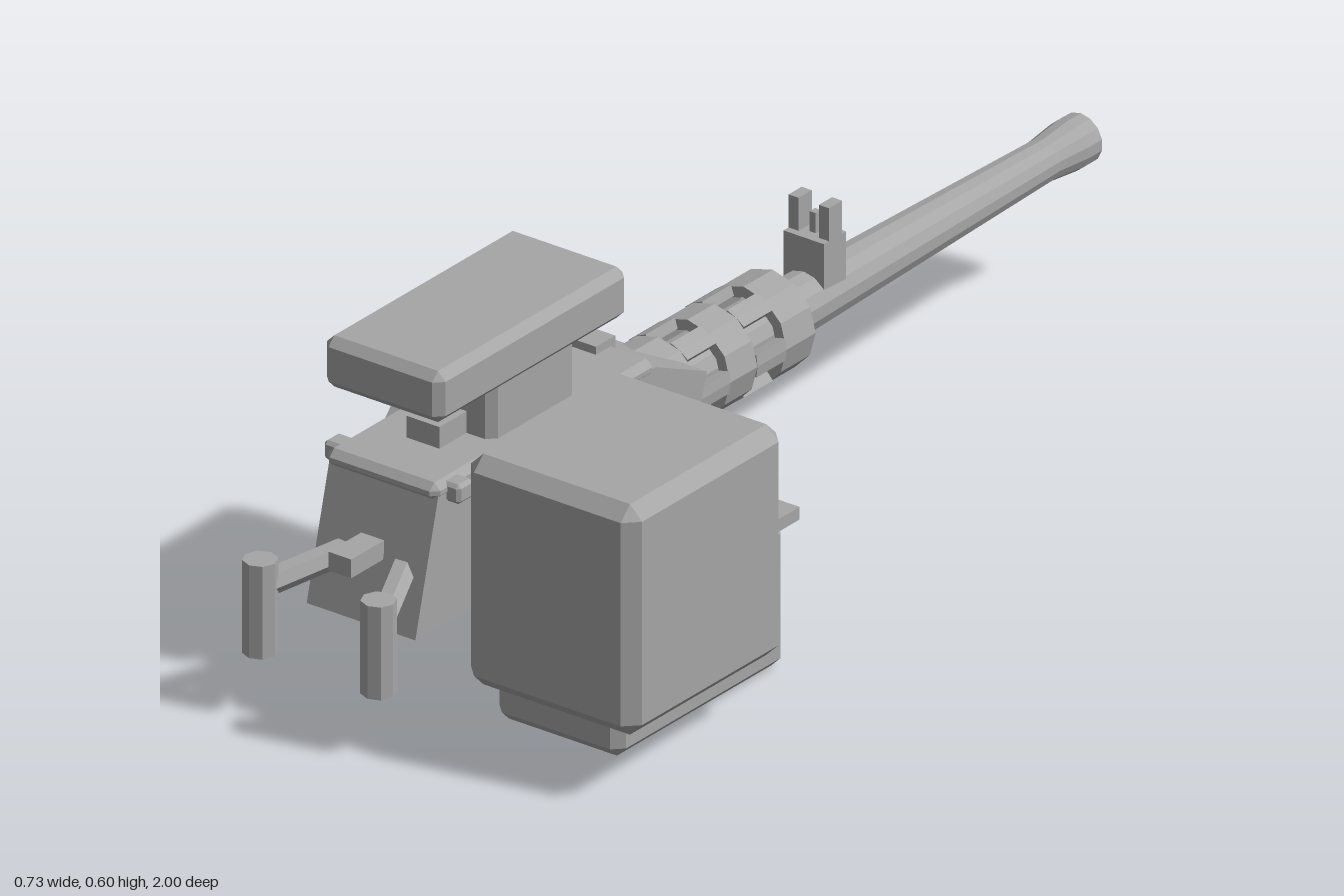
import * as THREE from 'three';
import { ConvexGeometry } from 'three/addons/geometries/ConvexGeometry.js';

export function createModel() {
  const model = new THREE.Group();
  const metal = new THREE.MeshStandardMaterial({ color: 0xa6a6a6, flatShading: true });
  metal.name = 'grey metal';
  const AX = -0.2, AY = 0.26; // barrel axis

  const add = (name, geometry, x = 0, y = 0, z = 0, parent = model) => {
    const mesh = new THREE.Mesh(geometry, metal);
    mesh.name = name;
    mesh.position.set(x, y, z);
    parent.add(mesh);
    return mesh;
  };
  // Box given by its limits on each axis
  const box = (name, x0, x1, y0, y1, z0, z1, parent) =>
    add(name, new THREE.BoxGeometry(x1 - x0, y1 - y0, z1 - z0),
      (x0 + x1) / 2, (y0 + y1) / 2, (z0 + z1) / 2, parent);
  // Box with every edge cut at 45 degrees
  const chamferBox = (name, x0, x1, y0, y1, z0, z1, c) => {
    const h = [(x1 - x0) / 2, (y1 - y0) / 2, (z1 - z0) / 2], pts = [];
    for (const sx of [-1, 1]) for (const sy of [-1, 1]) for (const sz of [-1, 1])
      for (let axis = 0; axis < 3; axis++) {
        const e = h.map((v, i) => (i === axis ? v : v - c));
        pts.push(new THREE.Vector3(sx * e[0], sy * e[1], sz * e[2]));
      }
    return add(name, new ConvexGeometry(pts), (x0 + x1) / 2, (y0 + y1) / 2, (z0 + z1) / 2);
  };
  // Cylinder or bar between two points
  const rod = (name, a, b, r, sides) => {
    const p = new THREE.Vector3(...a), q = new THREE.Vector3(...b), d = q.clone().sub(p);
    const mesh = add(name, new THREE.CylinderGeometry(r, r, d.length(), sides));
    mesh.position.copy(p).add(q).multiplyScalar(0.5);
    mesh.quaternion.setFromUnitVectors(new THREE.Vector3(0, 1, 0), d.normalize());
    return mesh;
  };

  // Receiver: side profile (z, y) extruded across x
  const side = new THREE.Shape([[0.16, 0.152], [0.86, 0.152], [0.80, 0.385], [0.24, 0.385], [0.108, 0.325]]
    .map(([z, y]) => new THREE.Vector2(-z, y)));
  const body = new THREE.ExtrudeGeometry(side, { depth: 0.215, bevelEnabled: false });
  body.rotateY(Math.PI / 2);
  add('receiver', body, -0.305);
  chamferBox('topCover', -0.31, -0.088, 0.37, 0.402, 0.24, 0.81, 0.012);
  box('coverLatch', -0.23, -0.17, 0.395, 0.416, 0.24, 0.29);
  box('rearBlock', -0.23, -0.165, 0.395, 0.44, 0.63, 0.7);
  for (const s of [-1, 1])
    chamferBox('hingeKnob', AX + s * 0.105 - 0.03, AX + s * 0.105 + 0.03, 0.363, 0.397, 0.74, 0.78, 0.006);

  // Round drum through both sides
  rod('sideDrum', [-0.365, 0.285, 0.505], [-0.027, 0.285, 0.505], 0.1, 12);

  // Raised housing on its pedestal
  add('pedestal', new ConvexGeometry([0.395, 0.515].flatMap((y) =>
    [[0.068, 0.11], [0.083, 0.095]].flatMap(([dx, dz]) => [-1, 1].flatMap((sx) => [-1, 1].map((sz) =>
      new THREE.Vector3(-0.197 + sx * dx, y, 0.52 + sz * dz)))))));
  chamferBox('upperHousing', -0.315, -0.08, 0.508, 0.598, 0.32, 0.81, 0.015);

  // Barrel with hollow, flared muzzle
  const barrel = new THREE.LatheGeometry([[0, 0.9], [0.022, 0.9], [0.022, 1], [0.043, 1], [0.043, 0.965],
    [0.036, 0.9], [0.052, 0.2], [0.056, -0.2]].reverse().map(([r, y]) => new THREE.Vector2(r, y)), 14);
  barrel.rotateX(-Math.PI / 2);
  add('barrel', barrel, AX, AY, 0);

  // Perforated jacket: solid rings joined by narrow bars, leaving six windows per row
  const jacket = new THREE.Group();
  jacket.name = 'barrelJacket';
  jacket.position.set(AX, AY, 0);
  model.add(jacket);
  const shell = (z0, z1, start, sweep, segments) => {
    const arc = new THREE.Shape();
    for (let i = 0; i <= segments; i++) {
      const t = start + (sweep * i) / segments;
      arc[i ? 'lineTo' : 'moveTo'](0.085 * Math.cos(t), 0.085 * Math.sin(t));
    }
    for (let i = segments; i >= 0; i--) {
      const t = start + (sweep * i) / segments;
      arc.lineTo(0.066 * Math.cos(t), 0.066 * Math.sin(t));
    }
    add('jacketSection', new THREE.ExtrudeGeometry(arc, { depth: z1 - z0, bevelEnabled: false }), 0, 0, z0, jacket);
  };
  const sixth = Math.PI / 3;
  for (const [z0, z1] of [[-0.205, -0.13], [-0.055, 0.015], [0.09, 0.2]])
    for (let i = 0; i < 6; i++) shell(z0, z1, i * sixth, sixth, 2);
  for (const [z0, z1] of [[-0.13, -0.055], [0.015, 0.09]])
    for (let i = 0; i < 6; i++) shell(z0, z1, i * sixth + sixth * 0.78, sixth * 0.44, 2);

  // Front sight
  box('sightBase', -0.24, -0.16, 0.285, 0.37, -0.342, -0.285);
  for (const s of [-1, 1])
    box('sightEar', AX + s * 0.03 - 0.01, AX + s * 0.03 + 0.01, 0.365, 0.428, -0.332, -0.298);
  box('sightPost', -0.206, -0.194, 0.365, 0.405, -0.322, -0.308);

  // Rear handles and trigger
  for (const s of [-1, 1]) {
    const x = -0.197 + s * 0.117;
    rod('handle', [x, 0.107, 0.968], [x, 0.27, 0.968], 0.029, 8);
    rod('handleArm', [-0.197 + s * 0.05, 0.25, 0.81], [x, 0.222, 0.965], 0.022, 6);
  }
  box('trigger', -0.22, -0.175, 0.257, 0.29, 0.83, 0.915);

  // Feed block with a short row of rounds
  chamferBox('feedBlock', -0.1, -0.015, 0.21, 0.325, 0.245, 0.42, 0.012);
  for (const x of [-0.003, 0.028])
    rod('feedRound', [x, 0.317, 0.26], [x, 0.317, 0.38], 0.013, 8);
  box('feedBar', -0.02, 0.1, 0.3, 0.318, 0.3, 0.34);

  // Lower box with rim and its bracket
  chamferBox('lowerBox', -0.01, 0.24, 0, 0.255, 0.33, 0.765, 0.018);
  box('lowerBoxRim', -0.024, 0.25, 0.25, 0.272, 0.312, 0.775);
  const bracket = add('bracket', new THREE.BoxGeometry(0.14, 0.022, 0.2), -0.05, 0.1, 0.55);
  bracket.rotation.z = -0.22;
  box('bracketFoot', -0.11, -0.092, 0.105, 0.16, 0.45, 0.65);

  // Large side box
  chamferBox('largeBox', 0.025, 0.363, 0.12, 0.525, 0.49, 0.89, 0.024);
  return model;
}
